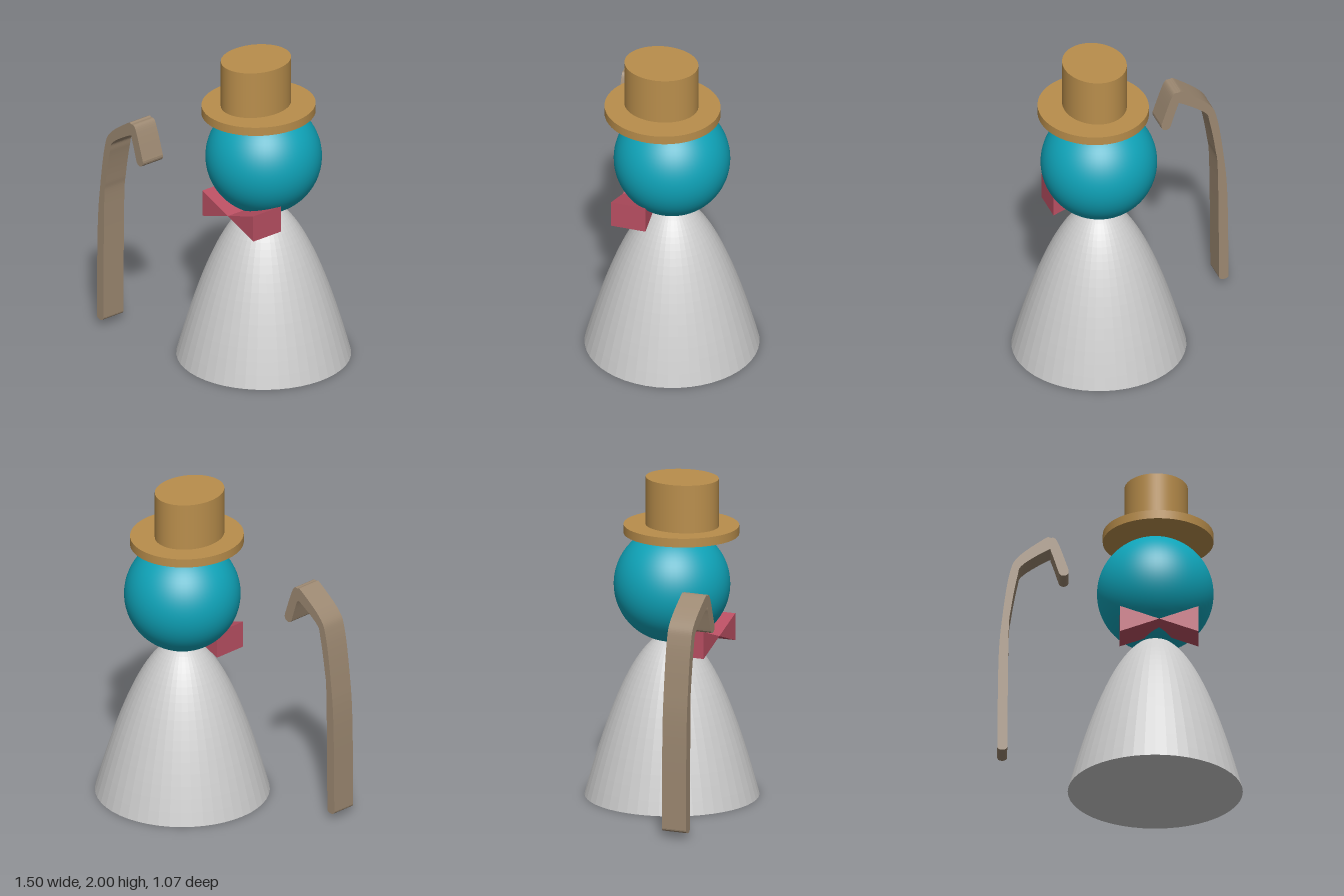
import * as THREE from 'three';

const material = (color, extra = {}) => new THREE.MeshStandardMaterial({ color, ...extra });

function addPart(parent, name, geometry, mat, x = 0, y = 0, z = 0) {
  const mesh = new THREE.Mesh(geometry, mat);
  mesh.name = name;
  mesh.position.set(x, y, z);
  parent.add(mesh);
  return mesh;
}

// Extrudes a flat outline along z between two depths
function extrude(shape, zBack, zFront, curveSegments = 12) {
  const depth = zFront - zBack;
  return new THREE.ExtrudeGeometry(shape, { depth, bevelEnabled: false, curveSegments })
    .translate(0, 0, zBack);
}

const points = (list) => list.map(([x, y]) => new THREE.Vector2(x, y));

export function createModel() {
  const model = new THREE.Group();
  model.name = 'hattedFigure';
  const axisX = 0.215;

  // Body: paraboloid with a closed base
  const height = 1.02, radius = 0.533, rows = 24;
  const profile = [new THREE.Vector2(0, 0)];
  for (let i = 0; i <= rows; i++) {
    const r = radius * (1 - i / rows);
    profile.push(new THREE.Vector2(r, height * (1 - (r / radius) ** 2)));
  }
  addPart(model, 'body', new THREE.LatheGeometry(profile, 48),
    material(0xcccccc, { flatShading: true }), axisX);

  // Head
  addPart(model, 'head', new THREE.SphereGeometry(0.355, 64, 40), material(0x0fa3b8), axisX, 1.325, 0);

  // Hat: slightly oval brim and crown
  const hat = new THREE.Group();
  hat.name = 'hat';
  model.add(hat);
  const felt = material(0xb98e4c);
  const disc = (name, rx, rz, y0, y1, x, z) =>
    addPart(hat, name, new THREE.CylinderGeometry(1, 1, y1 - y0, 64), felt, x, (y0 + y1) / 2, z)
      .scale.set(rx, 1, rz);
  disc('hatBrim', 0.337, 0.355, 1.645, 1.7, 0.232, 0.055);
  disc('hatCrown', 0.193, 0.228, 1.69, 2, 0.22, 0.066);

  // Bow tie: two mirrored wedges meeting at the knot
  const bowTie = new THREE.Group();
  bowTie.name = 'bowTie';
  model.add(bowTie);
  const cloth = material(0xb94f62);
  for (const [name, side] of [['bowLeft', 1], ['bowRight', -1]]) {
    const wedge = new THREE.Shape(points([[0, 0], [side * 0.24, -0.085], [side * 0.24, 0.085]]));
    addPart(bowTie, name, extrude(wedge, 0.085, 0.305), cloth, 0.238, 1.02, 0);
  }

  // Cane: hooked outline with rounded ends, extruded in depth
  const cane = new THREE.Shape();
  cane.moveTo(-0.749, 0.06);
  cane.splineThru(points([[-0.741, 0.65], [-0.717, 0.942], [-0.675, 1.217], [-0.622, 1.333],
    [-0.463, 1.455], [-0.426, 1.463], [-0.384, 1.439], [-0.315, 1.249]]));
  cane.bezierCurveTo(-0.305, 1.2, -0.37, 1.195, -0.376, 1.233);
  cane.splineThru(points([[-0.42, 1.365], [-0.442, 1.38], [-0.595, 1.28], [-0.627, 1.2],
    [-0.664, 0.995], [-0.68, 0.81], [-0.688, 0.06]]));
  cane.bezierCurveTo(-0.688, 0.032, -0.749, 0.032, -0.749, 0.06);
  addPart(model, 'cane', extrude(cane, 0.355, 0.515, 10), material(0x9c8871));

  return model;
}
